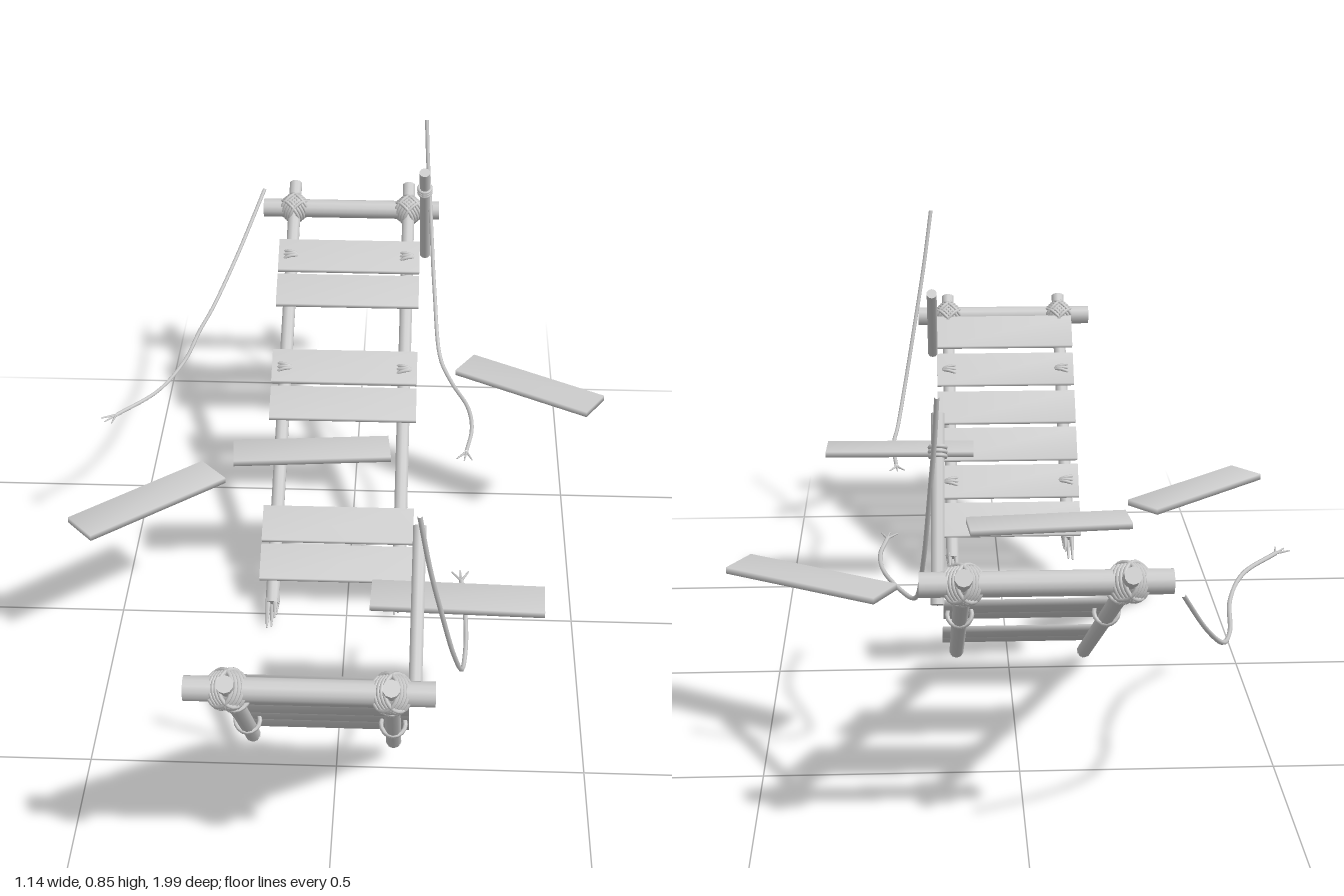
import * as THREE from 'three';
import { mergeVertices } from 'three/addons/utils/BufferGeometryUtils.js';

const wood = new THREE.MeshStandardMaterial({ color: 0xcccccc });
const V = (x, y, z) => new THREE.Vector3(x, y, z);

function add(parent, name, geometry) {
  const mesh = new THREE.Mesh(geometry, wood);
  mesh.name = name;
  parent.add(mesh);
  return mesh;
}

// Round bar between two points; r0 at the start, r1 at the end
function bar(parent, name, a, b, r0, r1 = r0, sides = 10) {
  const mesh = add(parent, name, new THREE.CylinderGeometry(r1, r0, a.distanceTo(b), sides));
  mesh.position.copy(a).add(b).multiplyScalar(0.5);
  mesh.quaternion.setFromUnitVectors(V(0, 1, 0), b.clone().sub(a).normalize());
  return mesh;
}

// Board with softened shading
function plank(parent, name, depth = 0.085, width = 0.34) {
  const box = new THREE.BoxGeometry(width, 0.013, depth);
  box.deleteAttribute('normal');
  box.deleteAttribute('uv');
  const g = mergeVertices(box);
  g.computeVertexNormals();
  return add(parent, name, g);
}

// Crossed rope wraps where a rail meets the crossbar
function lashing(parent, x, z) {
  const group = new THREE.Group();
  group.name = 'lashing';
  group.position.set(x, 0, z);
  for (const turn of [-1, 1]) {
    for (let i = -2; i <= 2; i++) {
      const ring = add(group, 'ropeWrap', new THREE.TorusGeometry(0.032, 0.004, 6, 20));
      ring.rotation.y = turn * Math.PI / 4;
      ring.position.set(turn * i * 0.0055, 0, i * 0.0055);
    }
  }
  parent.add(group);
}

// Rope loops tying a plank to a rail
function plankTie(parent, x, z) {
  for (const i of [-1, 0, 1]) {
    const ring = add(parent, 'plankTie', new THREE.TorusGeometry(0.024, 0.004, 6, 16));
    ring.position.set(x, 0.009, z + i * 0.006);
    ring.rotation.y = i * 0.25;
  }
}

// Broken rail: round body plus splinters at its low end
function rail(parent, x, s, tip, start, end) {
  bar(parent, 'rail', V(x, 0, s * start), V(x, 0, s * end), 0.0155);
  [[-0.009, 0.005, 1], [0.007, 0.007, 0.6], [0, -0.008, 0.85], [0.01, -0.003, 0.4]].forEach(([dx, dy, k]) =>
    bar(parent, 'splinter', V(x + dx, dy, s * (start + 0.01)), V(x + dx, dy, s * (start + (tip - start) * k)), 0.007, 0.002, 5));
}

// Hanging half of the bridge; s is the z direction in which it climbs
function bridgeHalf(name, s, y, z, angle, o) {
  const g = new THREE.Group();
  g.name = name;
  g.position.set(0, y, z);
  g.rotation.x = -s * angle;
  [-0.165, 0.115].forEach((x, i) => {
    rail(g, x, s, o.tips[i], o.starts[i], o.length);
    lashing(g, x, s * o.crossbar);
    o.ties.forEach((d) => plankTie(g, x, s * d));
  });
  bar(g, 'crossbar', V(-0.24, 0, s * o.crossbar), V(0.19, 0, s * o.crossbar), 0.022, 0.022, 12);
  o.planks.forEach((d, i) => {
    const p = plank(g, 'plank');
    p.position.set(-0.025, 0.023, s * d);
    p.rotation.x = (i % 2 ? 1 : -1) * 0.015;
  });
  return g;
}

// Loose rope ending in three frayed strands
function rope(parent, points) {
  const pts = points.map((p) => V(...p));
  const curve = new THREE.CatmullRomCurve3(pts);
  add(parent, 'rope', new THREE.TubeGeometry(curve, 48, 0.0045, 6));
  const end = pts[pts.length - 1];
  const dir = curve.getTangent(1);
  for (const a of [-0.5, 0, 0.5]) {
    const tip = dir.clone().applyAxisAngle(V(0, 1, 0), a).multiplyScalar(0.035).add(end);
    bar(parent, 'frayedStrand', end, tip, 0.003, 0.0015, 5);
  }
}

export function createModel() {
  const model = new THREE.Group();
  model.name = 'brokenBridge';

  model.add(bridgeHalf('frontHalf', 1, 0.042, 0.462, 0.835, {
    tips: [0.04, 0], starts: [0.095, 0.05], length: 0.765, crossbar: 0.71,
    ties: [0.24, 0.545], planks: [0.14, 0.24, 0.34, 0.44, 0.545, 0.65],
  }));
  model.add(bridgeHalf('rearHalf', -1, 0.015, 0.06, 0.518, {
    tips: [0, 0.04], starts: [0.06, 0.1], length: 1.19, crossbar: 1.117,
    ties: [0.65, 0.963], planks: [0.151, 0.246, 0.557, 0.655, 0.865, 0.963],
  }));

  // Leaning handrail posts
  bar(model, 'frontPost', V(0.155, 0.49, 0.875), V(0.157, 0.7, 0.63), 0.0125);
  bar(model, 'rearPost', V(0.158, 0.495, -0.82), V(0.153, 0.79, -0.652), 0.0125);

  // Rope knot around the rear post
  const axis = V(-0.005, 0.295, 0.168).normalize();
  for (const i of [-1, 0, 1]) {
    const ring = add(model, 'postWrap', new THREE.TorusGeometry(0.014, 0.004, 6, 16));
    ring.position.set(0.154, 0.73, -0.686).addScaledVector(axis, i * 0.008);
    ring.quaternion.setFromUnitVectors(V(0, 0, 1), axis);
  }

  // Ropes falling to the flat level and trailing along it
  rope(model, [[0.156, 0.86, 0.83], [0.175, 0.73, 0.795], [0.198, 0.6, 0.75], [0.225, 0.455, 0.69],
    [0.243, 0.372, 0.625], [0.25, 0.366, 0.55], [0.25, 0.366, 0.45], [0.243, 0.366, 0.34]]);
  rope(model, [[0.155, 0.86, -0.79], [0.16, 0.77, -0.757], [0.168, 0.67, -0.716], [0.182, 0.5, -0.62],
    [0.198, 0.385, -0.513], [0.225, 0.366, -0.43], [0.262, 0.366, -0.32], [0.27, 0.366, -0.23], [0.257, 0.366, -0.135]]);
  rope(model, [[-0.245, 0.577, -0.995], [-0.305, 0.46, -0.866], [-0.355, 0.382, -0.743], [-0.38, 0.366, -0.65],
    [-0.402, 0.366, -0.5], [-0.45, 0.366, -0.36], [-0.53, 0.366, -0.255]]);

  // Loose planks lying level: x, z, turn
  [[0.402, -0.397, -0.535], [-0.08, -0.1, 0.092], [-0.413, 0.103, 0.719], [0.235, 0.42, -0.03]].forEach(([x, z, turn]) => {
    const p = plank(model, 'loosePlank');
    p.position.set(x, 0.382, z);
    p.rotation.y = turn;
  });

  return model;
}
